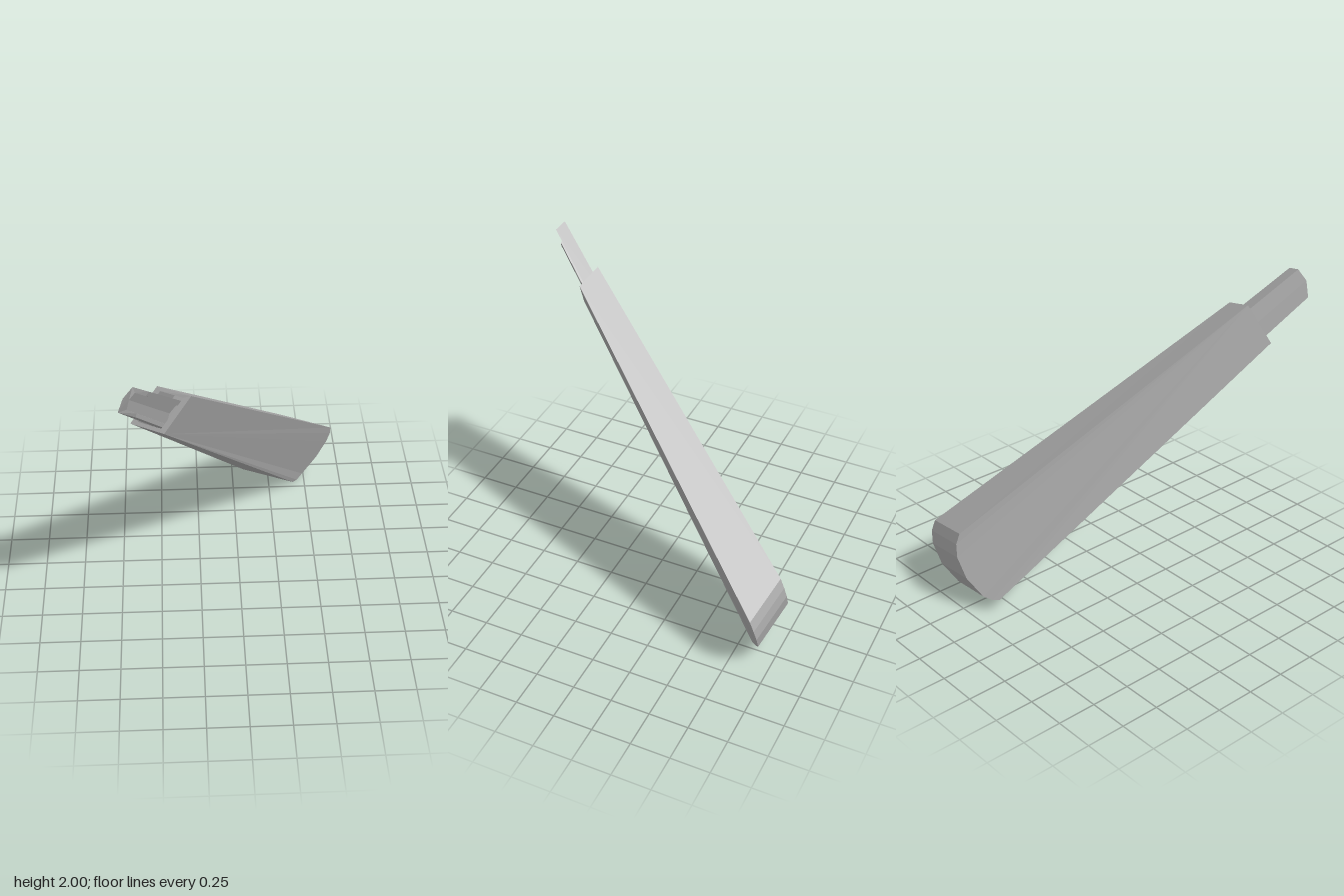
import * as THREE from 'three';

const V = (x, y, z) => new THREE.Vector3(x, y, z);

// Flat-faced geometry from planar polygons (corners anticlockwise from outside)
function fromPolygons(polygons) {
  const pos = [];
  for (const p of polygons) {
    for (let i = 1; i < p.length - 1; i++) {
      for (const v of [p[0], p[i], p[i + 1]]) pos.push(v.x, v.y, v.z);
    }
  }
  const geo = new THREE.BufferGeometry();
  geo.setAttribute('position', new THREE.Float32BufferAttribute(pos, 3));
  geo.computeVertexNormals();
  return geo;
}

// Tapered hollow grip with a rounded butt
function gripGeometry() {
  const mouth = [V(-0.63, 1.6, 0.718), V(-0.445, 1.55, 0.757), V(-0.29, 1.76, 0.7), V(-0.475, 1.81, 0.667)];
  const [A, B, C, D] = mouth;

  // Curved edge of the butt, and the same edge on the opposite side
  const near = [
    V(0.42, 0.004, -0.797), V(0.45, 0.002, -0.825), V(0.49, 0.025, -0.865), V(0.59, 0.13, -0.915),
    V(0.66, 0.255, -0.928), V(0.682, 0.335, -0.915), V(0.68, 0.4, -0.888),
  ];
  const far = near.map((p) => p.clone().add(V(-0.346, 0.083, -0.054)));
  const last = near.length - 1;

  const polygons = [
    [B, ...near, C],
    [D, ...far.slice().reverse(), A],
    [A, far[0], near[0], B],
    [C, near[last], far[last], D],
  ];
  for (let i = 0; i < last; i++) polygons.push([far[i], far[i + 1], near[i + 1], near[i]]);

  // Rim, socket walls and socket floor
  const u = B.clone().sub(A).multiplyScalar(0.16);
  const v = D.clone().sub(A).multiplyScalar(0.09);
  const signs = [[1, 1], [-1, 1], [-1, -1], [1, -1]];
  const inner = mouth.map((p, i) => p.clone().addScaledVector(u, signs[i][0]).addScaledVector(v, signs[i][1]));
  const ends = [far[0], near[0], near[last], far[last]];
  const floor = inner.map((p, i) => p.clone().addScaledVector(ends[i].clone().sub(mouth[i]), 0.1));
  for (let i = 0; i < 4; i++) {
    const j = (i + 1) % 4;
    polygons.push([mouth[i], mouth[j], inner[j], inner[i]]);
    polygons.push([inner[i], inner[j], floor[j], floor[i]]);
  }
  polygons.push(floor);
  return fromPolygons(polygons);
}

// Channel-section tang, widening slightly into the socket
function tangGeometry() {
  const tip = [
    V(-0.588, 1.825, 0.985),
    V(-0.583, 1.85, 0.985), V(-0.635, 1.865, 0.97), V(-0.62, 1.93, 0.975), V(-0.587, 1.968, 0.965), V(-0.53, 1.952, 0.975),
    V(-0.513, 1.98, 0.975), V(-0.598, 2.0, 0.957), V(-0.652, 1.94, 0.975), V(-0.683, 1.845, 0.965),
  ];
  const centre = V(-0.6, 1.915, 0.97);
  const root = tip.map((p) => p.clone().sub(centre).multiplyScalar(1.2).add(centre).add(V(0.21, -0.37, -0.4)));
  const outline = tip.map((p) => new THREE.Vector2(p.x, p.y));
  const polygons = [];
  for (const [a, b, c] of THREE.ShapeUtils.triangulateShape(outline, [])) {
    polygons.push([tip[a], tip[b], tip[c]], [root[a], root[c], root[b]]);
  }
  tip.forEach((p, i) => {
    const j = (i + 1) % tip.length;
    polygons.push([p, root[i], root[j], tip[j]]);
  });
  return fromPolygons(polygons);
}

export function createModel() {
  const grey = new THREE.MeshStandardMaterial({ color: 0xaaaaaa });
  grey.name = 'grey';
  const group = new THREE.Group();
  group.name = 'handle';
  const add = (name, geometry) => {
    const mesh = new THREE.Mesh(geometry, grey);
    mesh.name = name;
    group.add(mesh);
  };
  add('grip', gripGeometry());
  add('tang', tangGeometry());
  return group;
}
